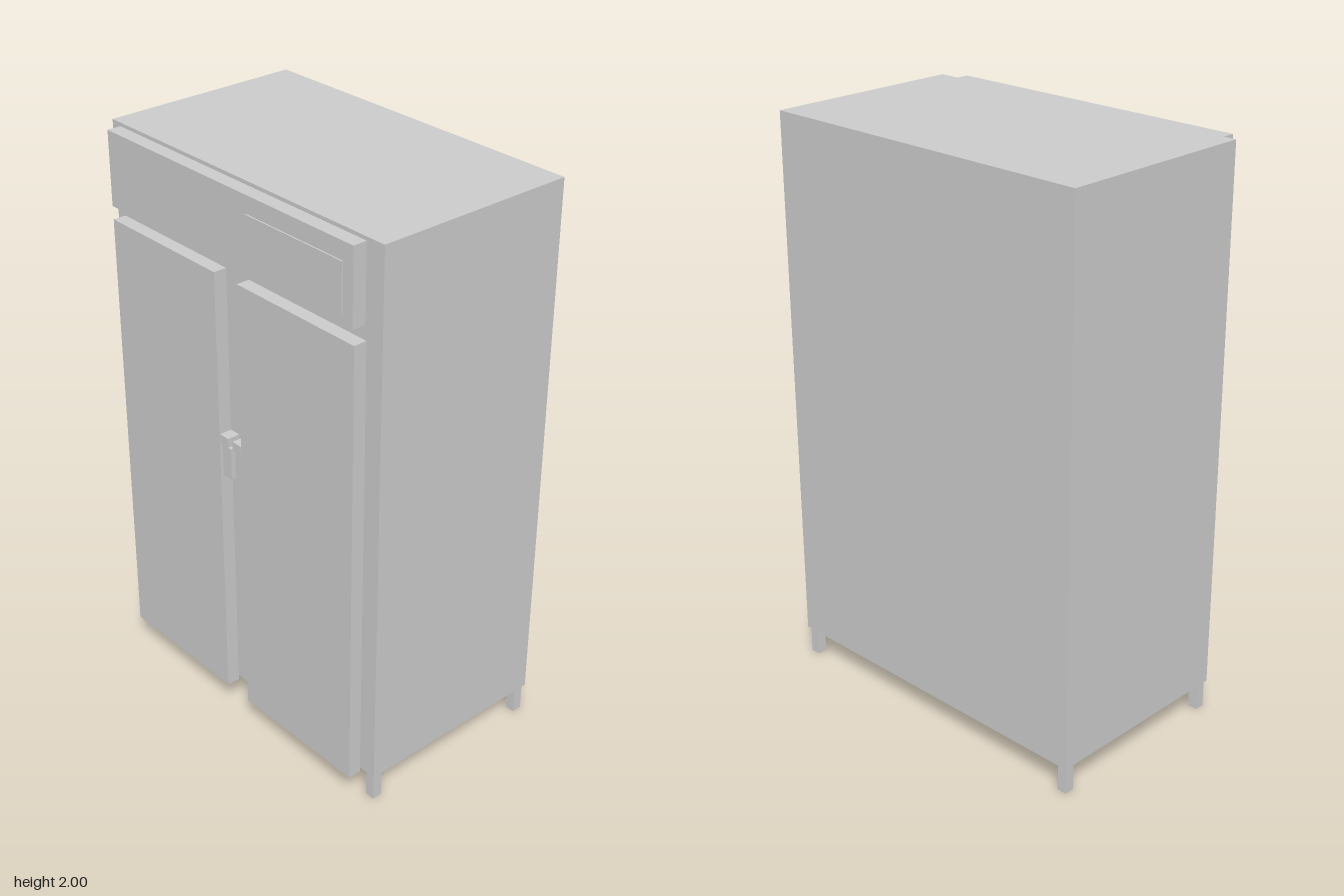
import * as THREE from 'three';

export function createModel() {
  const model = new THREE.Group();
  const material = new THREE.MeshStandardMaterial({ color: 0xcccccc, flatShading: true });

  // Adds a box given its extents along each axis
  function box(name, [x0, x1], [y0, y1], [z0, z1]) {
    const mesh = new THREE.Mesh(new THREE.BoxGeometry(x1 - x0, y1 - y0, z1 - z0), material);
    mesh.position.set((x0 + x1) / 2, (y0 + y1) / 2, (z0 + z1) / 2);
    mesh.name = name;
    model.add(mesh);
  }

  // Cabinet body
  box('cabinetBody', [-0.632, 0.632], [0.1, 2], [-0.397, 0.322]);

  // Upper control panel and its thin display plate
  box('controlPanel', [-0.575, 0.572], [1.738, 1.995], [0.333, 0.382]);
  box('displayPlate', [0.117, 0.538], [1.775, 1.94], [0.388, 0.393]);

  // Mirrored doors, handles and legs
  for (const side of [-1, 1]) {
    const label = side > 0 ? 'left' : 'right';
    const span = (a, b) => (side > 0 ? [a, b] : [-b, -a]);
    box(label + 'Door', span(0.055, 0.577), [0.096, 1.69], [0.333, 0.38]);
    box(label + 'HandleGrip', span(0.011, 0.052), [0.962, 1.078], [0.335, 0.37]);
    box(label + 'HandleCap', span(0.011, 0.052), [1.088, 1.12], [0.335, 0.38]);
    box(label + 'FrontLeg', span(0.59, 0.625), [0, 0.1], [0.281, 0.316]);
    box(label + 'BackLeg', span(0.59, 0.625), [0, 0.1], [-0.388, -0.353]);
  }

  return model;
}
